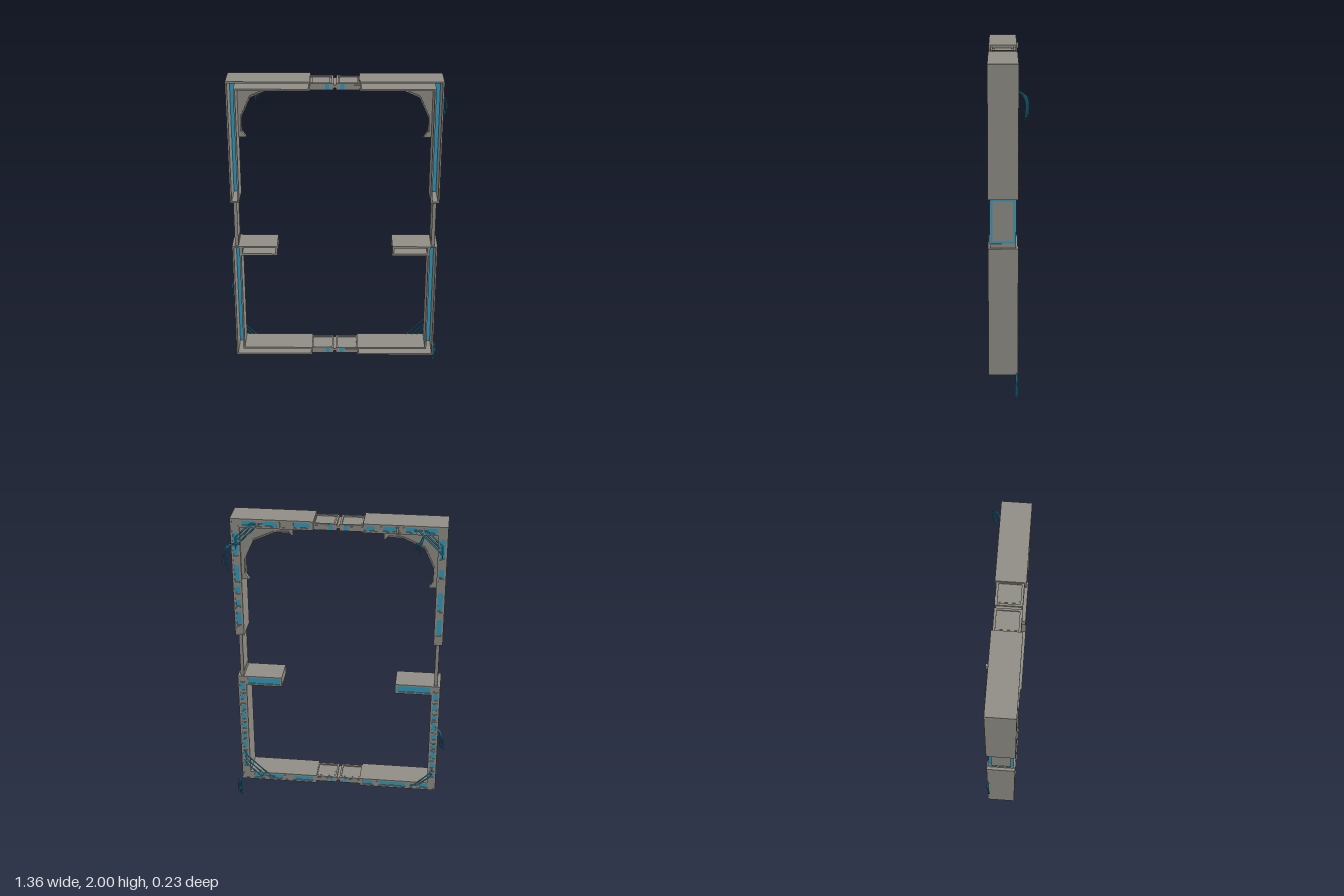
import * as THREE from 'three';

const gray = new THREE.MeshStandardMaterial({ color: 0x8f8d85 });
gray.name = 'panelGray';
const blue = new THREE.MeshStandardMaterial({ color: 0x2b9cc2 });
blue.name = 'circuitBlue';

const BACK = -0.058, FRONT = 0.116;
const OUT = 0.637, WIDE = 0.055, END = 0.145;

function add(parent, name, geometry, material) {
  const mesh = new THREE.Mesh(geometry, material);
  mesh.name = name;
  parent.add(mesh);
  return mesh;
}

// Box given by its limits; x and y limits may be swapped when mirrored
function box(parent, name, mat, x0, x1, y0, y1, z0, z1) {
  const g = new THREE.BoxGeometry(Math.abs(x1 - x0), Math.abs(y1 - y0), Math.abs(z1 - z0));
  g.translate((x0 + x1) / 2, (y0 + y1) / 2, (z0 + z1) / 2);
  return add(parent, name, g, mat);
}

// Outline extruded from z0 to z1, with optional holes; winding is made counterclockwise
function slab(parent, name, mat, pts, z0, z1, holes = []) {
  const vectors = list => list.map(p => new THREE.Vector2(...p));
  const outline = vectors(pts);
  if (THREE.ShapeUtils.isClockWise(outline)) outline.reverse();
  const shape = new THREE.Shape(outline);
  shape.holes = holes.map(h => new THREE.Path(vectors(h)));
  const g = new THREE.ExtrudeGeometry(shape, { depth: z1 - z0, bevelEnabled: false });
  g.translate(0, 0, z0);
  return add(parent, name, g, mat);
}

const rect = (a, b, c, d) => [[a, c], [b, c], [b, d], [a, d]];

function tube(parent, name, pts, sides) {
  const curve = new THREE.CatmullRomCurve3(pts.map(p => new THREE.Vector3(...p)));
  add(parent, name, new THREE.TubeGeometry(curve, 14, 0.004, sides), blue);
}

// L-shaped channel from outer edge yo to post end ye, with windows along arm and post
function corner(root, s, yo, ye, { label, arm, post, cables }) {
  const group = new THREE.Group();
  group.name = label + 'Corner';
  root.add(group);
  const v = Math.sign(ye - yo);
  const X = d => s * (OUT - d), Y = d => yo + v * d;
  const outline = i => [
    [X(i), Y(i)], [s * (END + i), Y(i)], [s * (END + i), Y(WIDE - i)],
    [X(WIDE - i), Y(WIDE - i)], [X(WIDE - i), ye - v * i], [X(i), ye - v * i]];
  slab(group, 'channelWalls', gray, outline(0), BACK, FRONT, [outline(0.01)]);
  slab(group, 'circuitBacking', blue, outline(0.009), -0.052, -0.046);

  // Gray cover on the back, cut by windows that show the circuits
  const windows = [
    ...arm.map(([a, b]) => rect(X(a), X(b), Y(0.014), Y(0.041))),
    ...post.map(([a, b]) => rect(X(0.014), X(0.041), Y(a), Y(b)))];
  slab(group, 'backCover', gray, outline(0.009), -0.056, -0.0515, windows);

  // Small raised ribs beside the windows
  for (const [, b] of arm)
    if (b < 0.46) box(group, 'armRib', gray, X(b + 0.008), X(b + 0.016), Y(0.012), Y(0.043), -0.061, -0.055);
  for (const [, b] of post)
    box(group, 'postRib', gray, X(0.012), X(0.043), Y(b + 0.006), Y(b + 0.014), -0.061, -0.055);

  // Diagonal cables across the corner
  for (const d of cables)
    tube(group, 'cornerCable', [
      [X(0.027), Y(WIDE + d + 0.05), -0.057], [X(0.03), Y(WIDE + d + 0.025), -0.057],
      [X(WIDE), Y(WIDE + d), -0.057], [X(WIDE + d), Y(WIDE), -0.057],
      [X(WIDE + d + 0.025), Y(0.03), -0.057], [X(WIDE + d + 0.05), Y(0.027), -0.057]], 12);
}

// Angular curved brace under each top corner
function bracket(root, s) {
  const edge = [[0.266, 1.946], [0.266, 1.897], [0.291, 1.922], [0.376, 1.919], [0.503, 1.862],
    [0.561, 1.735], [0.561, 1.645], [0.535, 1.607], [0.584, 1.607], [0.584, 1.946]];
  slab(root, 'cornerBracket', gray, edge.map(([x, y]) => [s * x, y]), -0.045, -0.02);
  // Raised lip following the curved edge
  const lip = [[0.291, 1.922], [0.376, 1.919], [0.503, 1.862], [0.561, 1.735], [0.561, 1.645],
    [0.569, 1.645], [0.569, 1.737], [0.509, 1.869], [0.378, 1.928], [0.291, 1.931]];
  slab(root, 'bracketLip', gray, lip.map(([x, y]) => [s * x, y]), -0.051, -0.01);
}

// Half of a sliding connector in the top or bottom beam
function beamConnector(root, s, y0, y1) {
  const group = new THREE.Group();
  group.name = 'beamConnector';
  root.add(group);
  const rim = slab(group, 'connectorRim', gray, rect(s * 0.008, s * 0.15, -0.05, 0.105),
    -(y1 - y0) / 2, (y1 - y0) / 2, [rect(s * 0.02, s * 0.14, -0.036, 0.091)]);
  rim.rotation.x = Math.PI / 2;
  rim.position.y = (y0 + y1) / 2;
  box(group, 'connectorPanel', gray, s * 0.018, s * 0.142, y0 + 0.008, y1 - 0.008, -0.038, 0.093);
  box(group, 'raisedPanel', gray, s * 0.028, s * 0.132, y0 + 0.005, y1 - 0.005, -0.028, 0.083);
  for (const z of [-0.05, 0.105]) {
    box(group, 'connectorLight', blue, s * 0.034, s * 0.056, y0 + 0.004, y1 - 0.004, z - 0.002, z + 0.002);
    box(group, 'connectorStrip', gray, s * 0.066, s * 0.146, y0 + 0.01, y1 - 0.01, z - 0.002, z + 0.002);
  }
  box(group, 'centreJoint', gray, 0, s * 0.01, y0 + 0.011, y1 - 0.011, -0.045, 0.1);
}

// Framed plate joining the upper and lower posts
function postConnector(root, s) {
  const group = new THREE.Group();
  group.name = 'postConnector';
  root.add(group);
  const rim = slab(group, 'plateRim', gray, rect(-0.106, 0.046, 0.932, 1.232), -0.011, 0.011,
    [rect(-0.102, 0.042, 0.963, 1.227)]);
  rim.rotation.y = Math.PI / 2;
  rim.position.x = s * 0.608;
  box(group, 'blueInset', blue, s * 0.606, s * 0.617, 0.955, 1.23, -0.043, 0.103);
  box(group, 'outerPanel', gray, s * 0.614, s * 0.62, 0.976, 1.214, -0.029, 0.089);
  box(group, 'innerPanel', gray, s * 0.6, s * 0.607, 0.945, 1.23, -0.043, 0.103);
}

// Hollow shelf, open toward the front
function shelf(root, s) {
  const group = new THREE.Group();
  group.name = 'shelf';
  root.add(group);
  slab(group, 'shelfWalls', gray, rect(s * 0.357, s * 0.584, 0.873, 0.936), -0.055, FRONT,
    [rect(s * 0.369, s * 0.574, 0.885, 0.925)]);
  box(group, 'shelfBacking', blue, s * 0.367, s * 0.576, 0.883, 0.927, -0.05, -0.044);
}

// Bundle of loose strands spread around one path
function looseWires(root, pts, spread) {
  const group = new THREE.Group();
  group.name = 'looseWires';
  root.add(group);
  for (let i = 0; i < 3; i++) {
    const k = i - 1;
    tube(group, 'wireStrand', pts.map(([x, y, z], j) => {
      const t = j / (pts.length - 1);
      return [x + k * spread * t, y + i * spread * 1.6 * t * t, z - k * spread * 0.6 * t];
    }), 6);
  }
}

export function createModel() {
  const model = new THREE.Group();
  model.name = 'portalFrame';
  const root = new THREE.Group();
  root.name = 'frame';
  root.position.x = -0.004;
  model.add(root);

  // Many short windows for the lower posts
  const lowerPost = Array.from({ length: 9 }, (_, i) => [0.1 + i * 0.073, 0.132 + i * 0.073 + (i % 3) * 0.008]);
  corner(root, 1, 2, 1.23, { label: 'upperLeft', cables: [0.04, 0.065, 0.09],
    arm: [[0.07, 0.15], [0.2, 0.28], [0.375, 0.47]],
    post: [[0.09, 0.23], [0.3, 0.4], [0.44, 0.48], [0.53, 0.57], [0.61, 0.7]] });
  corner(root, -1, 2, 1.23, { label: 'upperRight', cables: [0.04, 0.065, 0.09],
    arm: [[0.06, 0.13], [0.18, 0.245], [0.295, 0.375], [0.425, 0.475]],
    post: [[0.08, 0.2], [0.27, 0.32], [0.42, 0.54], [0.6, 0.7]] });
  corner(root, 1, 0.151, 0.936, { label: 'lowerLeft', cables: [0.04, 0.075, 0.11],
    arm: [[0.08, 0.14], [0.18, 0.27], [0.345, 0.47]], post: lowerPost });
  corner(root, -1, 0.151, 0.936, { label: 'lowerRight', cables: [0.035, 0.06],
    arm: [[0.05, 0.1], [0.195, 0.37], [0.41, 0.475]], post: lowerPost });

  for (const s of [-1, 1]) {
    bracket(root, s);
    beamConnector(root, s, 1.948, 1.987);
    beamConnector(root, s, 0.161, 0.2);
    postConnector(root, s);
    shelf(root, s);
  }

  // Small block standing out from the top beam
  box(root, 'backBlock', gray, -0.352, -0.336, 1.953, 1.99, -0.072, -0.05);

  looseWires(root, [[0.585, 1.838, -0.056], [0.64, 1.838, -0.075], [0.662, 1.8, -0.1], [0.665, 1.69, -0.102]], 0.012);
  looseWires(root, [[0.615, 0.17, -0.05], [0.648, 0.145, -0.05], [0.66, 0.1, -0.05], [0.66, 0.002, -0.05]], 0.011);
  looseWires(root, [[-0.615, 0.64, -0.052], [-0.648, 0.605, -0.054], [-0.66, 0.56, -0.054], [-0.662, 0.465, -0.052]], 0.012);
  looseWires(root, [[-0.5, 1.95, -0.054], [-0.48, 1.89, -0.06], [-0.465, 1.87, -0.06], [-0.46, 1.825, -0.056]], 0.015);
  return model;
}
